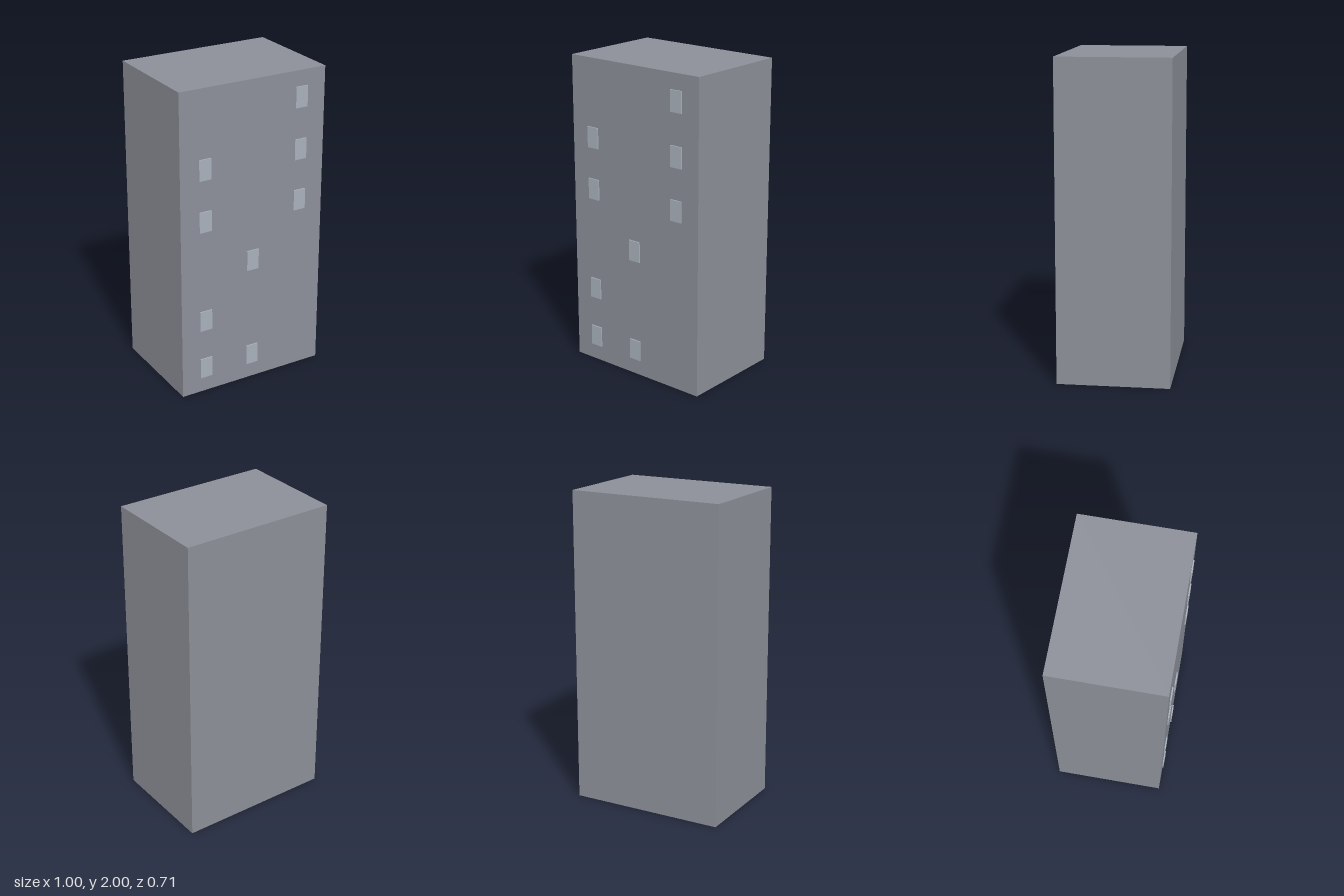
import * as THREE from 'three';

const WIDTH = 1, HEIGHT = 2, DEPTH = 0.7;
const PROUD = 0.008; // how far the windows stand out from the facade
const COLUMNS = 3, FLOORS = 6;

// Windows in each floor from the ground up, as column numbers
const LAYOUT = [[0, 1], [0], [1], [0, 2], [0, 2], [2]];

export function createModel() {
  const model = new THREE.Group();
  model.name = 'apartmentBlock';

  // Plain tower body, set back so the whole is centred in depth
  const wallMaterial = new THREE.MeshStandardMaterial({ color: 0x8c8f98 });
  const body = new THREE.Mesh(new THREE.BoxGeometry(WIDTH, HEIGHT, DEPTH), wallMaterial);
  body.name = 'towerBody';
  body.position.set(0, HEIGHT / 2, -PROUD / 2);
  model.add(body);

  // Thin window panels on a regular grid of the front wall
  const windowMaterial = new THREE.MeshStandardMaterial({ color: 0xa8b0ba });
  const panel = new THREE.BoxGeometry(0.083, 0.133, PROUD * 2);
  const windows = new THREE.Group();
  windows.name = 'windows';
  LAYOUT.forEach((columns, floor) => {
    for (const column of columns) {
      const pane = new THREE.Mesh(panel, windowMaterial);
      pane.name = `windowFloor${floor + 1}Column${column + 1}`;
      pane.position.set(
        (column - (COLUMNS - 1) / 2) * WIDTH / COLUMNS,
        (floor + 0.5) * HEIGHT / FLOORS,
        DEPTH / 2 - PROUD / 2
      );
      windows.add(pane);
    }
  });
  model.add(windows);

  return model;
}
